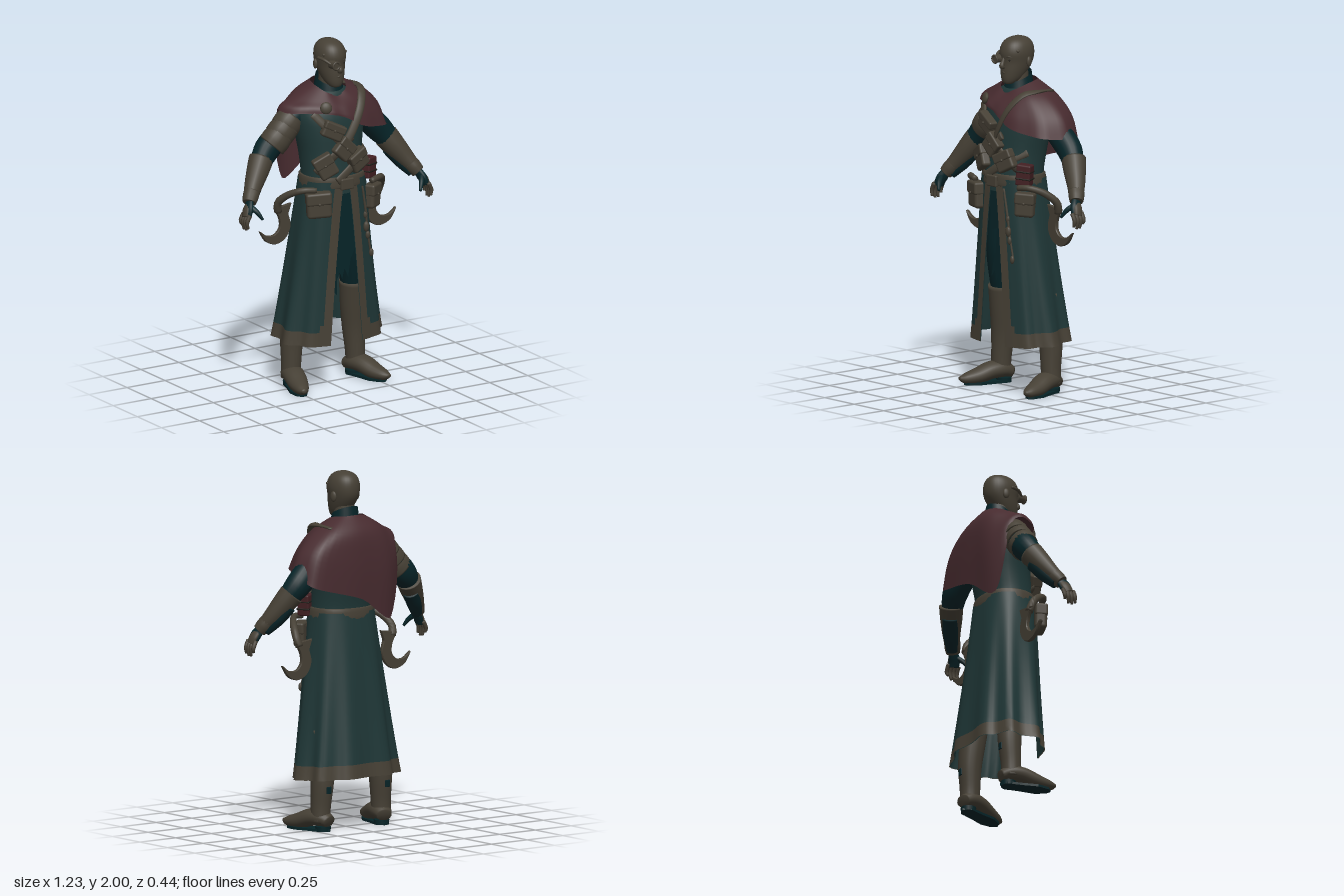
import * as THREE from 'three';
import { RoundedBoxGeometry } from 'three/addons/geometries/RoundedBoxGeometry.js';

const paint = (name, color, side = THREE.DoubleSide) => {
  const m = new THREE.MeshStandardMaterial({ color, side });
  m.name = name;
  return m;
};

// smooth interpolation through a list of number arrays
function sample(list, t, closed = false) {
  const n = list.length, s = t * (closed ? n : n - 1);
  const i = Math.min(Math.floor(s), closed ? n : n - 2), f = s - i;
  const at = k => list[closed ? (i + k + n) % n : Math.min(Math.max(i + k, 0), n - 1)];
  return list[0].map((_, c) => {
    const [a, b, d, e] = [at(-1)[c], at(0)[c], at(1)[c], at(2)[c]];
    return b + 0.5 * f * (d - a + f * (2 * a - 5 * b + 4 * d - e + f * (3 * (b - d) + e - a)));
  });
}

// surface from rows x columns of points; pick(i, j) gives the material of a cell
function grid(rows, cols, point, closed, pick) {
  const w = closed ? cols : cols + 1, pos = [], cells = [[], []];
  for (let i = 0; i <= rows; i++) for (let j = 0; j < w; j++) pos.push(...point(i, j));
  for (let i = 0; i < rows; i++) for (let j = 0; j < cols; j++) {
    const a = i * w + j, b = i * w + (j + 1) % w, c = a + w, d = b + w;
    cells[pick ? pick(i, j) : 0].push(a, b, c, b, d, c);
  }
  const g = new THREE.BufferGeometry();
  g.setAttribute('position', new THREE.Float32BufferAttribute(pos, 3));
  g.setIndex([...cells[0], ...cells[1]]);
  if (pick) {
    g.addGroup(0, cells[0].length, 0);
    g.addGroup(cells[0].length, cells[1].length, 1);
  }
  g.computeVertexNormals();
  return g;
}

const bend = (v, p) => Math.sign(v) * Math.abs(v) ** p;

// stacked oval sections [y, halfWidth, halfDepth, centreZ], from bottom to top
const stack = (list, rows = 24, cols = 32, p = 0.9) => grid(rows, cols, (i, j) => {
  const [y, rx, rz, cz] = sample(list, i / rows), a = j / cols * Math.PI * 2;
  return [rx * bend(Math.sin(a), p), y, cz + rz * bend(Math.cos(a), p)];
}, true);

// tapering limb through [x, y, z, radius]; flat scales its depth along ref
function limb(list, flat = 1, ref = [0, 0, 1], rows = 14, cols = 14) {
  const R = new THREE.Vector3(...ref);
  return grid(rows + 2, cols, (i, j) => {
    const t = Math.min(Math.max((i - 1) / rows, 0), 1);
    const [x, y, z, r0] = sample(list, t), r = i === 0 || i === rows + 2 ? 0 : r0;
    const p = sample(list, Math.max(t - 0.02, 0)), q = sample(list, Math.min(t + 0.02, 1));
    const T = new THREE.Vector3(q[0] - p[0], q[1] - p[1], q[2] - p[2]).normalize();
    const B = T.clone().cross(R).normalize(), N = B.clone().cross(T);
    const a = j / cols * Math.PI * 2;
    return new THREE.Vector3(x, y, z).addScaledVector(N, r * flat * Math.cos(a))
      .addScaledVector(B, r * Math.sin(a)).toArray();
  }, true);
}

export function createModel() {
  const model = new THREE.Group();
  const leather = paint('leather and skin', 0x464035), teal = paint('teal cloth', 0x1f3737);
  const dark = paint('dark teal cloth', 0x062428), mauve = paint('mauve cloth', 0x472b2f);
  const red = paint('red case', 0x432023), black = paint('dark detail', 0x211f1a);
  const add = (name, geo, mat, pos = [0, 0, 0], rot = [0, 0, 0], parent = model) => {
    const m = new THREE.Mesh(geo, mat);
    m.name = name;
    m.position.set(...pos);
    m.rotation.set(...rot);
    parent.add(m);
  };

  // head
  add('head', stack([[1.735, 0.005, 0.005, 0.085], [1.738, 0.03, 0.03, 0.082], [1.765, 0.052, 0.062, 0.06],
    [1.81, 0.068, 0.083, 0.04], [1.86, 0.078, 0.097, 0.024], [1.91, 0.084, 0.103, 0.023],
    [1.955, 0.074, 0.091, 0.02], [1.985, 0.047, 0.06, 0.018], [2, 0.004, 0.005, 0.017]], 32, 32, 0.95), leather);
  add('neck', new THREE.CylinderGeometry(0.056, 0.065, 0.16, 20), leather, [0, 1.74, 0.015]);
  add('nose', limb([[0, 1.885, 0.116, 0.008], [0, 1.86, 0.126, 0.011], [0, 1.838, 0.134, 0.015],
    [0, 1.83, 0.118, 0.011]]), leather);
  add('mouth', limb([[-0.026, 1.798, 0.106, 0.003], [0, 1.801, 0.12, 0.006], [0.026, 1.798, 0.106, 0.003]]), leather);
  for (const s of [-1, 1]) {
    add('ear', new THREE.SphereGeometry(0.03, 12, 10).scale(0.4, 1, 0.65), leather, [s * 0.083, 1.86, 0.005], [0, s * 0.3, 0]);
    add('brow', limb([[s * 0.014, 1.888, 0.116, 0.006], [s * 0.035, 1.893, 0.11, 0.008], [s * 0.06, 1.886, 0.088, 0.004]]), leather);
    add('eye', new THREE.SphereGeometry(0.011, 10, 8).scale(1.2, 0.6, 0.5), black, [s * 0.033, 1.873, 0.109]);
    add('templeStud', new THREE.SphereGeometry(0.009, 8, 6), leather, [s * 0.07, 1.925, 0.075]);
  }
  // eyepiece over the right eye
  add('eyepieceTube', new THREE.CylinderGeometry(0.021, 0.026, 0.05, 18), leather, [-0.037, 1.875, 0.128], [Math.PI / 2, 0, 0]);
  add('eyepieceRim', new THREE.TorusGeometry(0.021, 0.006, 8, 20), leather, [-0.037, 1.875, 0.153]);
  add('eyepieceArm', limb([[-0.055, 1.88, 0.125, 0.007], [-0.077, 1.9, 0.09, 0.009], [-0.088, 1.905, 0.04, 0.008]], 1, [0, 1, 0]), leather);

  // collar, lower at the front
  add('collar', grid(5, 28, (i, j) => {
    const a = j / 28 * Math.PI * 2, t = i / 5, r = 0.09 - 0.018 * t;
    return [r * Math.sin(a), 1.67 + t * (0.105 - 0.032 * Math.cos(a)), 0.01 + r * Math.cos(a)];
  }, true), dark);

  // torso and belt
  add('torso', stack([[1.14, 0.185, 0.145, 0.045], [1.24, 0.178, 0.142, 0.043], [1.36, 0.182, 0.147, 0.025],
    [1.48, 0.2, 0.153, 0.012], [1.58, 0.205, 0.145, 0.005], [1.66, 0.17, 0.115, 0], [1.71, 0.09, 0.085, 0.005],
    [1.73, 0.01, 0.01, 0.005]]), teal);
  add('belt', stack([[1.175, 0.184, 0.147, 0.045], [1.18, 0.194, 0.156, 0.045], [1.235, 0.189, 0.153, 0.045],
    [1.24, 0.177, 0.141, 0.045]], 9), leather);
  add('buckle', new RoundedBoxGeometry(0.085, 0.065, 0.02, 2, 0.008), leather, [0, 1.2, 0.205]);

  // long skirt, open at the front, with trim outside and plain lining inside
  const rowsY = [0, 0.035, 0.08, 0.12, 0.2, 0.3, 0.42, 0.54, 0.66, 0.78, 0.88, 0.94], cols = 68;
  const skirt = (inset, pick) => grid(11, cols, (i, j) => {
    const t = rowsY[i] / 0.94, rx = 0.315 - 0.125 * t ** 0.9 - inset, rz = 0.206 - 0.054 * t - inset, cz = 0.001 + 0.044 * t;
    const gap = 0.015 + 0.09 * (1 - t) ** 0.8;
    const a0 = (gap / rx) ** 1.2, a1 = ((gap + 0.052) / rx) ** 1.2;
    const k = Math.min(j, cols - j);
    let a = k === 0 ? a0 : a1 + (Math.PI - a1) * (k - 1) / (cols / 2 - 1);
    if (j > cols / 2) a = Math.PI * 2 - a;
    const fold = 1 + 0.06 * (1 - t) * Math.sin(a * 9 + 1) * Math.min(1, k / 8);
    return [rx * fold * bend(Math.sin(a), 0.83), 0.275 + rowsY[i] + 0.025 * (1 - t) * (1 - Math.cos(a)) / 2,
      cz + rz * fold * bend(Math.cos(a), 0.83)];
  }, false, pick);
  add('skirt', skirt(0, (i, j) => {
    const k = Math.min(j, cols - 1 - j);
    return i < 2 || k === 0 || (i === 2 && k < 2) ? 1 : 0;
  }), [teal, leather]);
  add('skirtLining', skirt(0.005), teal);

  // torn cloth layers inside the opening
  const tornLayer = (points, z) => add('tornCloth',
    new THREE.ShapeGeometry(new THREE.Shape(points.map(p => new THREE.Vector2(...p)))), dark, [0, 0, z]);
  tornLayer([[-0.09, 1.17], [-0.08, 0.9], [-0.03, 0.92], [-0.035, 0.8], [-0.06, 0.72], [-0.075, 0.64], [-0.045, 0.68], [-0.035, 0.62],
    [-0.01, 0.67], [0.005, 0.63], [0.02, 0.69], [0.045, 0.64], [0.06, 0.74], [0.09, 0.8], [0.09, 1.17]], 0.145);
  tornLayer([[-0.1, 1], [-0.1, 0.49], [-0.07, 0.52], [-0.045, 0.47], [-0.01, 0.52], [0.02, 0.48], [0.06, 0.51], [0.1, 0.47], [0.1, 1]], -0.06);

  // shoulder cape: rings from hem to neck, starting in front and passing the left side
  const rings = [
    [[0, 1.58, 0.185], [0.13, 1.51, 0.188], [0.305, 1.47, 0.115], [0.38, 1.45, -0.03], [0.315, 1.38, -0.15],
      [0.02, 1.3, -0.175], [-0.21, 1.18, -0.145], [-0.285, 1.58, -0.085], [-0.285, 1.61, 0.04], [-0.12, 1.61, 0.155]],
    [[0, 1.6, 0.18], [0.12, 1.58, 0.17], [0.265, 1.575, 0.095], [0.335, 1.57, -0.03], [0.27, 1.555, -0.145],
      [0, 1.5, -0.178], [-0.2, 1.47, -0.16], [-0.27, 1.635, -0.07], [-0.26, 1.645, 0.045], [-0.11, 1.635, 0.15]],
    [[0, 1.64, 0.155], [0.1, 1.65, 0.135], [0.185, 1.67, 0.078], [0.235, 1.672, -0.025], [0.175, 1.67, -0.128],
      [0, 1.665, -0.16], [-0.15, 1.665, -0.135], [-0.21, 1.685, -0.035], [-0.19, 1.675, 0.055], [-0.09, 1.665, 0.125]],
    [[0, 1.69, 0.1], [0.06, 1.71, 0.088], [0.09, 1.735, 0.04], [0.095, 1.75, -0.015], [0.07, 1.755, -0.07],
      [0, 1.76, -0.09], [-0.07, 1.755, -0.07], [-0.095, 1.75, -0.015], [-0.09, 1.735, 0.04], [-0.06, 1.71, 0.088]]];
  add('cape', grid(18, 60, (i, j) => {
    const t = i / 18, [x, y, z] = sample(rings.map(r => sample(r, j / 60, true)), t);
    const f = 1 + 0.015 * (1 - t) * Math.sin(j / 60 * Math.PI * 22);
    return [x * f, y, z * f];
  }, true), mauve);
  add('clasp', new THREE.SphereGeometry(0.034, 16, 10).scale(1, 1, 0.45), leather, [-0.11, 1.645, 0.16], [-0.3, -0.4, 0]);

  // straps over shoulder and chest
  const strap = (pts, ref) => add('strap', limb(pts.map(p => [...p, 0.024]), 0.4, ref, 20, 10), leather);
  strap([[-0.02, 1.4, 0.185], [0.04, 1.5, 0.195], [0.1, 1.61, 0.178], [0.15, 1.69, 0.115], [0.175, 1.705, 0.03],
    [0.16, 1.695, -0.09]], [0, 0.7, 0.7]);
  strap([[-0.17, 1.61, 0.12], [-0.1, 1.52, 0.17], [0, 1.41, 0.182], [0.1, 1.32, 0.175], [0.17, 1.25, 0.125]]);
  strap([[0.05, 1.46, 0.175], [-0.06, 1.37, 0.178], [-0.16, 1.27, 0.13]]);
  strap([[0.17, 1.37, 0.09], [0.06, 1.3, 0.18], [-0.06, 1.22, 0.2]]);

  // pouches with flap and button
  const pouch = (name, w, h, d, pos, rot) => {
    const g = new THREE.Group();
    g.name = name;
    g.position.set(...pos);
    g.rotation.set(...rot);
    model.add(g);
    add('pouchBody', new RoundedBoxGeometry(w, h, d, 3, d * 0.28), leather, [0, 0, 0], [0, 0, 0], g);
    add('pouchFlap', new RoundedBoxGeometry(w * 1.04, h * 0.5, d * 1.06, 3, d * 0.2), leather, [0, h * 0.27, d * 0.04], [0, 0, 0], g);
    add('pouchButton', new THREE.SphereGeometry(0.008, 8, 6), leather, [0, h * 0.08, d * 0.57], [0, 0, 0], g);
  };
  pouch('chestPouch', 0.13, 0.09, 0.05, [-0.075, 1.51, 0.175], [0, -0.2, -0.45]);
  pouch('middlePouch', 0.11, 0.11, 0.05, [-0.012, 1.4, 0.19], [0, 0, -0.75]);
  pouch('rightPouch', 0.11, 0.13, 0.055, [-0.12, 1.31, 0.17], [0, -0.35, 0.5]);
  pouch('leftPouch', 0.12, 0.11, 0.055, [0.085, 1.32, 0.18], [0, 0.2, 0.45]);
  pouch('rightHipPouch', 0.14, 0.145, 0.07, [-0.165, 1.095, 0.17], [0, -0.4, 0.05]);
  pouch('leftHipPouch', 0.11, 0.135, 0.065, [0.205, 1.085, 0.14], [0, 0.6, -0.05]);

  // red case with ribs
  add('redCase', new RoundedBoxGeometry(0.085, 0.12, 0.07, 2, 0.01), red, [0.185, 1.25, 0.125], [0, 0.5, -0.08]);
  for (let k = 0; k < 2; k++)
    add('caseRib', new RoundedBoxGeometry(0.09, 0.01, 0.076, 2, 0.004), black, [0.185, 1.23 + k * 0.04, 0.125], [0, 0.5, -0.08]);

  // hanging charm
  add('charmCord', limb([[0.1, 1.17, 0.205, 0.006], [0.125, 1.02, 0.2, 0.007], [0.14, 0.9, 0.195, 0.006], [0.165, 0.77, 0.19, 0.006]]), leather);
  [[0.125, 1, 0.013], [0.13, 0.93, 0.018], [0.14, 0.88, 0.014], [0.163, 0.775, 0.014]].forEach(([x, y, r]) =>
    add('charmBead', new THREE.SphereGeometry(r, 10, 8).scale(1, 1.7, 0.8), leather, [x, y, 0.198]));

  for (const s of [-1, 1]) {
    const m = pts => pts.map(([x, ...rest]) => [x * s, ...rest]);
    // curved sickle at each hip
    add('sickleHandle', limb(m([[0.18, 1.18, 0.17, 0.016], [0.25, 1.185, 0.145, 0.018], [0.305, 1.155, 0.08, 0.02],
      [0.335, 1.1, 0.02, 0.022], [0.325, 1.04, 0, 0.022]]), 1, [0.3 * s, 0.6, 0.7]), leather);
    const v = m([[0.445, 0.94], [0.405, 0.88], [0.34, 0.857], [0.28, 0.885], [0.25, 0.95], [0.265, 1.02], [0.245, 1.075],
      [0.35, 1.06], [0.318, 1], [0.315, 0.945], [0.35, 0.908], [0.4, 0.908]]).map(p => new THREE.Vector2(...p));
    const crescent = new THREE.Shape().moveTo(v[0].x, v[0].y);
    crescent.splineThru(v.slice(1, 6)).lineTo(v[6].x, v[6].y).lineTo(v[7].x, v[7].y);
    crescent.splineThru([...v.slice(8), v[0]]);
    add('sickleBlade', new THREE.ExtrudeGeometry(crescent, { depth: 0.012, bevelThickness: 0.006, bevelSize: 0.003, bevelSegments: 1, curveSegments: 8 }), leather, [0, 0, -0.006]);

    // arm and glove
    add('sleeve', limb(m([[0.15, 1.595, -0.02, 0.065], [0.22, 1.55, -0.03, 0.078], [0.29, 1.475, -0.04, 0.076], [0.37, 1.395, -0.045, 0.075],
      [0.435, 1.315, -0.02, 0.057]]), 0.9, [0, 0, 1], 20, 20), dark);
    add('bracer', limb(m([[0.41, 1.35, -0.04, 0.071], [0.448, 1.295, -0.015, 0.065], [0.5, 1.222, 0.02, 0.052],
      [0.548, 1.155, 0.06, 0.038]]), 0.95, [0, 0, 1], 16, 18), leather);
    add('bracerLining', limb(m([[0.43, 1.286, -0.032, 0.05], [0.48, 1.212, 0.002, 0.044], [0.533, 1.142, 0.046, 0.032]]), 0.95), dark);
    add('bracerCuff', limb(m([[0.52, 1.195, 0.037, 0.045], [0.538, 1.17, 0.051, 0.044], [0.555, 1.145, 0.066, 0.038]]), 1), leather);
    add('palm', limb(m([[0.55, 1.155, 0.06, 0.03], [0.57, 1.115, 0.082, 0.037], [0.585, 1.075, 0.09, 0.032]]), 0.6, [1, 0, 0]), dark);
    add('handBack', limb(m([[0.562, 1.145, 0.068, 0.024], [0.585, 1.11, 0.08, 0.03], [0.598, 1.075, 0.09, 0.026]]), 0.5, [1, 0, 0]), leather);
    for (let k = 0; k < 4; k++) {
      const z = 0.052 + k * 0.022, tip = [1.025, 1.004, 1.002, 1.015][k];
      add('finger', limb(m([[0.586, 1.09, z + 0.005, 0.012], [0.605, 1.05, z + 0.004, 0.012], [0.6, tip, z + 0.008, 0.007]]), 1, [0, 0, 1], 8, 8), leather);
    }
    add('thumb', limb(m([[0.56, 1.125, 0.095, 0.016], [0.54, 1.1, 0.125, 0.014], [0.518, 1.06, 0.148, 0.008]]), 1, [0, 0, 1], 8, 8), dark);

    // leg and boot
    add('trouserLeg', limb(m([[0.1, 1.12, 0.02, 0.08], [0.15, 0.8, 0.01, 0.085], [0.18, 0.52, -0.03, 0.065]])), dark);
    add('bootShaft', limb(m([[0.213, 0.05, -0.045, 0.055], [0.21, 0.14, -0.045, 0.056], [0.203, 0.28, -0.05, 0.065],
      [0.192, 0.42, -0.04, 0.072], [0.183, 0.56, -0.025, 0.076]]), 1.02, [0, 0, 1], 18, 20), leather);
    add('bootPatch', new RoundedBoxGeometry(0.03, 0.04, 0.009, 2, 0.003), dark, [s * 0.205, 0.235, -0.113]);
    const foot = new THREE.Group();
    foot.name = 'foot';
    foot.position.set(s * 0.213, 0, -0.03);
    foot.rotation.y = s * 0.28;
    model.add(foot);
    add('bootFoot', limb([[0, 0.055, -0.075, 0.042], [0, 0.075, -0.02, 0.06], [0, 0.072, 0.05, 0.062], [0, 0.047, 0.13, 0.055],
      [0, 0.037, 0.205, 0.036], [0, 0.04, 0.242, 0.012]], 0.8, [0, 1, 0], 20, 18), leather, [0, 0, 0], [0, 0, 0], foot);
    const outline = new THREE.Shape([[0, -0.215], [0.03, -0.195], [0.05, -0.13], [0.042, -0.04], [0.04, 0.045], [0, 0.078],
      [-0.04, 0.045], [-0.042, -0.04], [-0.05, -0.13], [-0.03, -0.195]].map(p => new THREE.Vector2(...p)));
    add('sole', new THREE.ExtrudeGeometry(outline, { depth: 0.014, bevelEnabled: false }), dark, [0, 0, 0], [-Math.PI / 2, 0, 0], foot);
    add('heel', new THREE.CylinderGeometry(0.044, 0.042, 0.028, 18), dark, [0, 0.014, -0.03], [0, 0, 0], foot);
  }

  // layered plates on the right shoulder
  for (let k = 0; k < 3; k++) {
    const x = -0.205 - k * 0.04, y = 1.568 - k * 0.044;
    add('shoulderPlate', limb([[x, y, -0.03, 0.078], [x - 0.03, y - 0.033, -0.035, 0.085], [x - 0.058, y - 0.065, -0.04, 0.083]],
      0.92, [0, 0, 1], 8, 22), leather);
  }
  return model;
}
